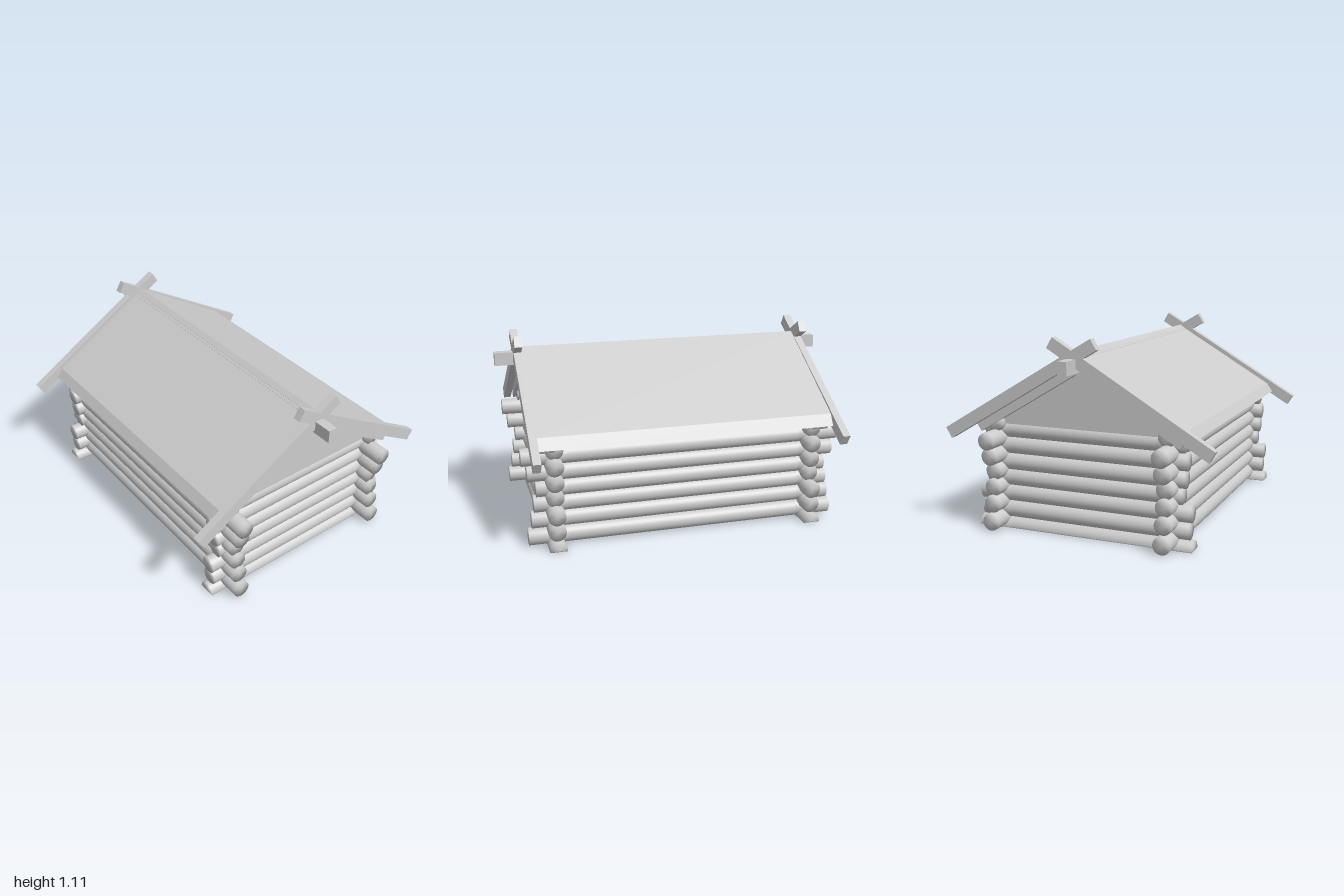
import * as THREE from 'three';
import { mergeVertices } from 'three/addons/utils/BufferGeometryUtils.js';

const PITCH = THREE.MathUtils.degToRad(30.7);
const R = 0.05; // log radius
const FLAT = 0.022; // distance from a log's axis to its hewn inner face

// Log along x with its inner side (-z) hewn flat between -cut and +cut, round at the ends.
// Everything below floorY is flattened.
function logGeometry(half, cut, floorY = -1) {
  const g = new THREE.CylinderGeometry(R, R, 5, 28, 5).rotateZ(Math.PI / 2);
  const p = g.attributes.position;
  for (let i = 0; i < p.count; i++) {
    const x = p.getX(i);
    const ring = Math.abs(x);
    p.setX(i, Math.sign(x) * (ring > 2 ? half : ring > 1 ? cut : cut - 0.008));
    if (ring < 1) p.setZ(i, Math.max(p.getZ(i), -FLAT));
    p.setY(i, Math.max(p.getY(i), floorY));
  }
  // Shared normals give the ends a soft, rounded look
  g.deleteAttribute('normal');
  g.deleteAttribute('uv');
  const smooth = mergeVertices(g);
  smooth.computeVertexNormals();
  return smooth;
}

// Profile in (distance from ridge, height), extruded along x and centred
function alongX(points, width, side) {
  const shape = new THREE.Shape(points.map(([d, y]) => new THREE.Vector2(d, y)));
  const g = new THREE.ExtrudeGeometry(shape, { depth: width, bevelEnabled: false });
  return g.translate(0, 0, -width / 2).rotateY(-side * Math.PI / 2);
}

export function createModel() {
  const model = new THREE.Group();
  model.name = 'logCabin';
  const mat = new THREE.MeshStandardMaterial({ color: 0xcccccc });

  const add = (name, geometry, x = 0, y = 0, z = 0) => {
    const mesh = new THREE.Mesh(geometry, mat);
    mesh.name = name;
    mesh.position.set(x, y, z);
    model.add(mesh);
    return mesh;
  };

  // Front and back wall logs, run along x: [height, half length]
  const longLogs = [
    [0.055, 0.905], [0.155, 0.885], [0.248, 0.87], [0.338, 0.855],
    [0.43, 0.9], [0.523, 0.93], [0.612, 0.83],
  ];
  // Side wall logs, run along z, offset by half a log
  const sideLogs = [
    [0.105, 0.62], [0.2, 0.63], [0.292, 0.58], [0.382, 0.595], [0.477, 0.605], [0.57, 0.59],
  ];
  for (const s of [1, -1]) {
    for (const [y, half] of longLogs) {
      const log = add(s > 0 ? 'frontLog' : 'backLog', logGeometry(half, 0.69), 0, y, s * 0.51);
      log.rotation.y = s > 0 ? 0 : Math.PI;
    }
    for (const [y, half] of sideLogs) {
      const log = add(s > 0 ? 'leftLog' : 'rightLog', logGeometry(half, 0.445), s * 0.755, y, 0);
      log.rotation.y = s * Math.PI / 2;
    }
    // Half-round sill log with a flat underside
    const sill = add('sillLog', logGeometry(0.64, 0.445, -0.005), s * 0.755, 0.005, 0);
    sill.rotation.y = s * Math.PI / 2;
  }

  // Board on the roof pitch: its top face follows y = ridgeY - d * tan(pitch),
  // from distance d0 to d1 out from the ridge, on side s (+1 front, -1 back)
  const pitchedBoard = (name, s, x, width, ridgeY, d0, d1, thick) => {
    const mid = (d0 + d1) / 2;
    const length = (d1 - d0) / Math.cos(PITCH);
    const mesh = add(
      name, new THREE.BoxGeometry(width, thick, length), x,
      ridgeY - mid * Math.tan(PITCH) - (thick / 2) * Math.cos(PITCH),
      s * (mid - (thick / 2) * Math.sin(PITCH)),
    );
    mesh.rotation.x = s * PITCH;
  };

  // Roof slabs with sloped eaves, the back one overlapping at the ridge
  add('frontRoof', alongX([[0, 0.984], [0.65, 0.598], [0.612, 0.651], [0, 1.014]], 1.7, 1));
  add('backRoof', alongX(
    [[-0.012, 0.985], [0.66, 0.598], [0.62, 0.662], [0.018, 1.03], [-0.012, 1.008]], 1.7, -1));

  for (const side of [1, -1]) {
    // Triangular gable panel
    add('gable', alongX([[-0.52, 0.605], [0.52, 0.605], [0, 0.925]], 0.05, 1), side * 0.778);

    // Rafters under the slabs and crossed barge boards outside them
    for (const s of [1, -1]) {
      pitchedBoard('rafter', s, side * 0.8, 0.098, 0.982, 0, 0.62, 0.061);
      pitchedBoard('bargeBoard', s, side * 0.872, 0.044, 1.044, -0.11, 0.79, 0.068);
    }
  }

  // Ridge beam
  add('ridgeBeam', new THREE.BoxGeometry(2, 0.075, 0.054), 0, 0.962, 0);

  return model;
}
